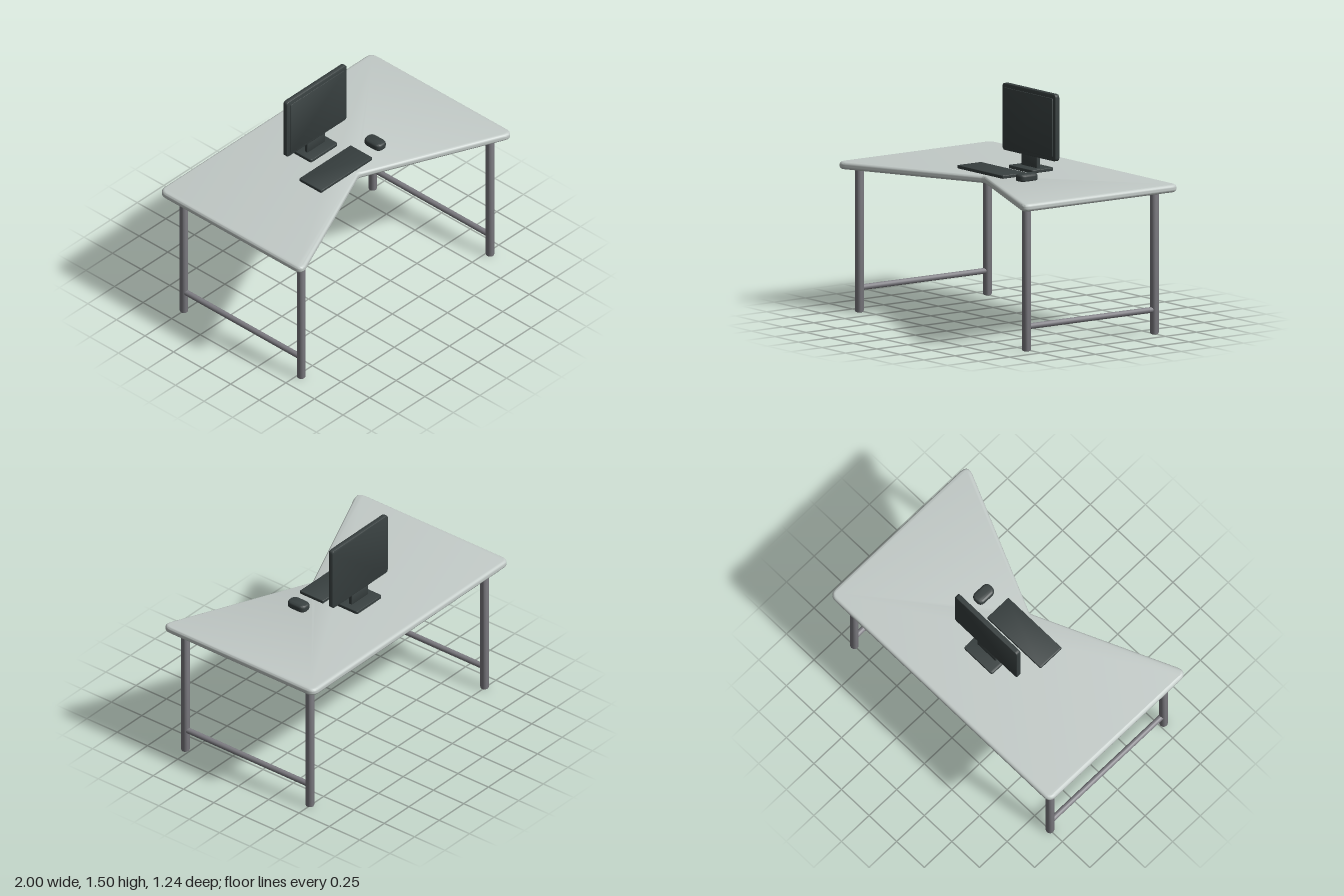
import * as THREE from 'three';
import { toCreasedNormals } from 'three/addons/utils/BufferGeometryUtils.js';

const paint = (name, color) => {
  const m = new THREE.MeshStandardMaterial({ color });
  m.name = name;
  return m;
};

// Outline with every corner rounded; points are [x, y, radius]
function roundedShape(points) {
  const shape = new THREE.Shape();
  const n = points.length;
  points.forEach(([x, y, r], i) => {
    const p = new THREE.Vector2(x, y);
    const toward = ([qx, qy]) => new THREE.Vector2(qx, qy).sub(p).setLength(r).add(p);
    const a = toward(points[(i + n - 1) % n]);
    const b = toward(points[(i + 1) % n]);
    if (i === 0) shape.moveTo(a.x, a.y); else shape.lineTo(a.x, a.y);
    shape.quadraticCurveTo(x, y, b.x, b.y);
  });
  shape.closePath();
  return shape;
}

const rectangle = (w, h, r) => roundedShape(
  [[-w / 2, -h / 2, r], [w / 2, -h / 2, r], [w / 2, h / 2, r], [-w / 2, h / 2, r]]);

// Slab of the given thickness, centred on its depth, with softened edges
function slab(shape, thickness, bevel, curveSegments = 6) {
  const g = new THREE.ExtrudeGeometry(shape, {
    depth: thickness - 2 * bevel, bevelEnabled: true, bevelThickness: bevel,
    bevelSize: bevel, bevelOffset: -bevel, bevelSegments: 4, curveSegments,
  });
  g.translate(0, 0, bevel - thickness / 2);
  return toCreasedNormals(g, 0.6);
}

export function createModel() {
  const model = new THREE.Group();
  model.name = 'computerDesk';
  const topPaint = paint('paleGreyTop', 0xc3cbc8);
  const metal = paint('greyMetal', 0x7f7e84);
  const dark = paint('darkPlastic', 0x384040);

  const add = (name, geometry, material, x, y, z, flat = false) => {
    const mesh = new THREE.Mesh(geometry, material);
    mesh.name = name;
    mesh.position.set(x, y, z);
    if (flat) mesh.rotation.x = Math.PI / 2;
    model.add(mesh);
    return mesh;
  };

  // Desktop with a V-shaped front cut-out
  const outline = roundedShape([
    [-1, -0.615, 0.06], [1, -0.615, 0.06], [1, 0.645, 0.08],
    [0, 0.203, 0.02], [-1, 0.645, 0.08],
  ]);
  add('desktop', slab(outline, 0.05, 0.02, 8), topPaint, 0, 0.952, 0, true);

  // Tubular legs and the low rail joining each side pair
  const r = 0.028;
  const legProfile = [[0, 0], [r - 0.008, 0], [r - 0.002, 0.003], [r, 0.01], [r, 0.94]]
    .map(([x, y]) => new THREE.Vector2(x, y));
  const legGeometry = toCreasedNormals(new THREE.LatheGeometry(legProfile, 20), 0.7);
  const railGeometry = new THREE.CylinderGeometry(0.019, 0.019, 1.01, 16);
  for (const [side, x] of [['left', 0.887], ['right', -0.887]]) {
    add(side + 'FrontLeg', legGeometry, metal, x, 0, 0.529);
    add(side + 'BackLeg', legGeometry, metal, x, 0, -0.498);
    add(side + 'Rail', railGeometry, metal, x, 0.159, 0.0155, true);
  }

  // Monitor: casing, raised screen, neck and foot
  add('monitorCasing', slab(rectangle(0.564, 0.436, 0.024), 0.034, 0.005), dark, 0, 1.287, -0.177);
  add('screen', slab(rectangle(0.51, 0.385, 0.012), 0.009, 0.002), dark, 0, 1.285, -0.1585);
  add('monitorNeck', slab(rectangle(0.165, 0.09, 0.005), 0.026, 0.004), dark, -0.002, 1.035, -0.177);
  add('monitorFoot', slab(rectangle(0.255, 0.178, 0.018), 0.022, 0.005), dark, -0.002, 0.988, -0.18, true);

  // Keyboard and mouse
  add('keyboard', slab(rectangle(0.485, 0.193, 0.01), 0.022, 0.005), dark, -0.078, 0.988, 0.078, true);
  add('mouse', slab(rectangle(0.088, 0.142, 0.04), 0.054, 0.018), dark, 0.292, 0.996, 0.078, true);

  return model;
}
